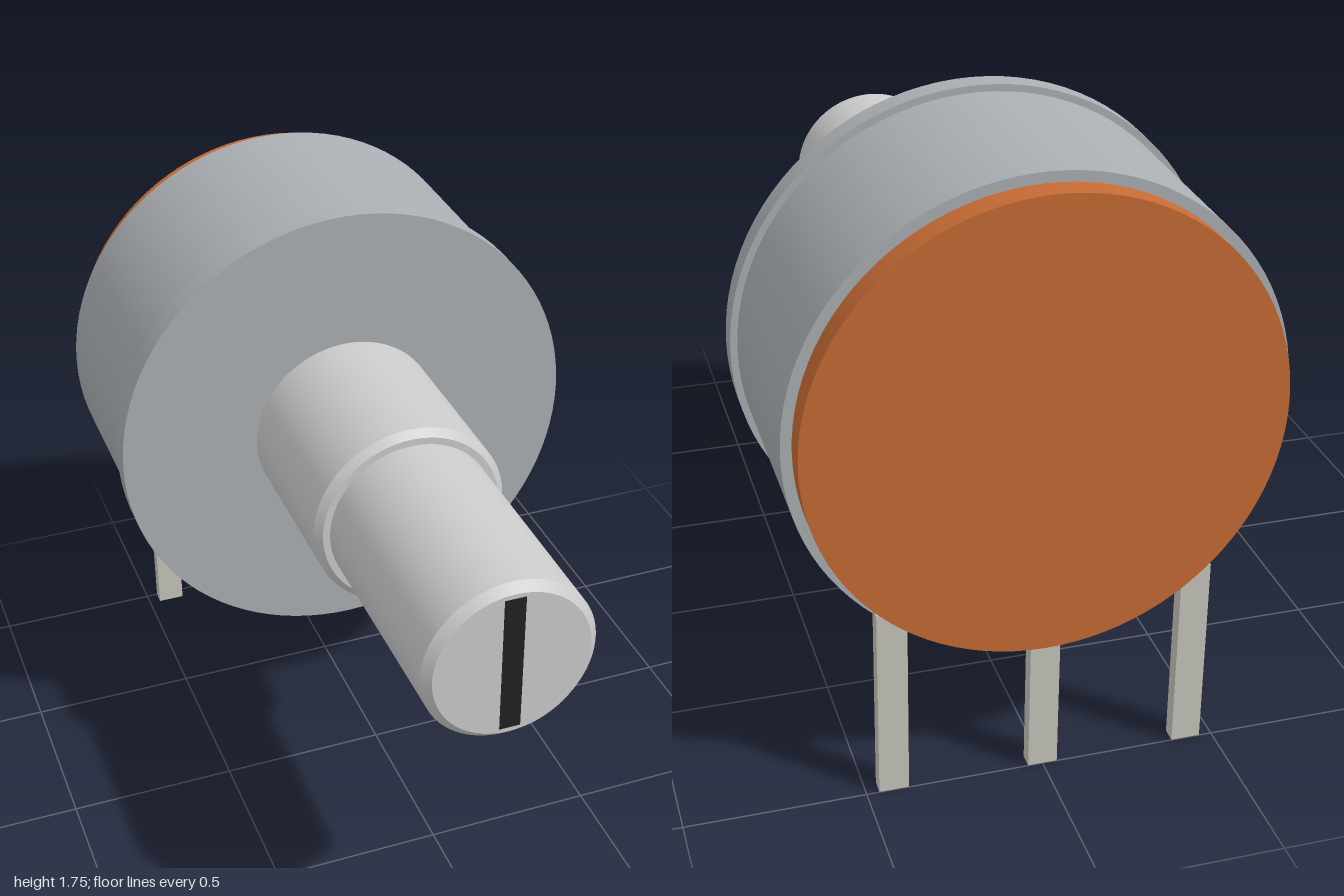
import * as THREE from 'three';
import { toCreasedNormals } from 'three/addons/utils/BufferGeometryUtils.js';

const AXIS_Y = 1.04; // height of the shaft axis

const material = (color) => new THREE.MeshStandardMaterial({ color });

// Solid of revolution around the z axis; profile is [radius, z] from back to front
function turned(name, profile, mat) {
  const points = profile.map(([r, z]) => new THREE.Vector2(r, z));
  const geometry = new THREE.LatheGeometry(points, 96);
  geometry.rotateX(Math.PI / 2);
  const mesh = new THREE.Mesh(toCreasedNormals(geometry, 0.5), mat);
  mesh.name = name;
  mesh.position.y = AXIS_Y;
  return mesh;
}

// Round bar with an optional chamfer on its front edge
function bar(name, radius, back, front, mat, chamfer = 0) {
  const profile = [[0, back], [radius, back], [radius, front - chamfer]];
  if (chamfer) profile.push([radius - chamfer, front]);
  profile.push([0, front]);
  return turned(name, profile, mat);
}

function block(name, size, position, mat) {
  const mesh = new THREE.Mesh(new THREE.BoxGeometry(...size), mat);
  mesh.name = name;
  mesh.position.set(...position);
  return mesh;
}

export function createModel() {
  const model = new THREE.Group();
  model.name = 'potentiometer';

  const steel = material(0xcccccc);
  const casing = material(0xaaafb3);
  const board = material(0xc66b34);
  const tin = material(0xc6c5bc);
  const black = material(0x222222);

  // Housing: can with a wider front flange, closed by the backing disc
  model.add(turned('housing', [
    [0, -0.925], [0.685, -0.925], [0.685, -0.32],
    [0.705, -0.32], [0.705, -0.25], [0, -0.25],
  ], casing));
  model.add(bar('backingDisc', 0.655, -1, -0.92, board));

  // Bushing and shaft
  model.add(bar('bushing', 0.29, -0.26, 0.293, steel, 0.021));
  model.add(bar('shaft', 0.248, 0.28, 0.999, steel, 0.024));
  model.add(block('screwdriverSlot', [0.06, 0.42, 0.02], [0, AXIS_Y, 0.99], black));

  // Three terminal pins
  [-0.423, 0, 0.423].forEach((x) => {
    model.add(block('terminalPin', [0.083, 0.57, 0.042], [x, 0.285, -0.978], tin));
  });

  return model;
}
